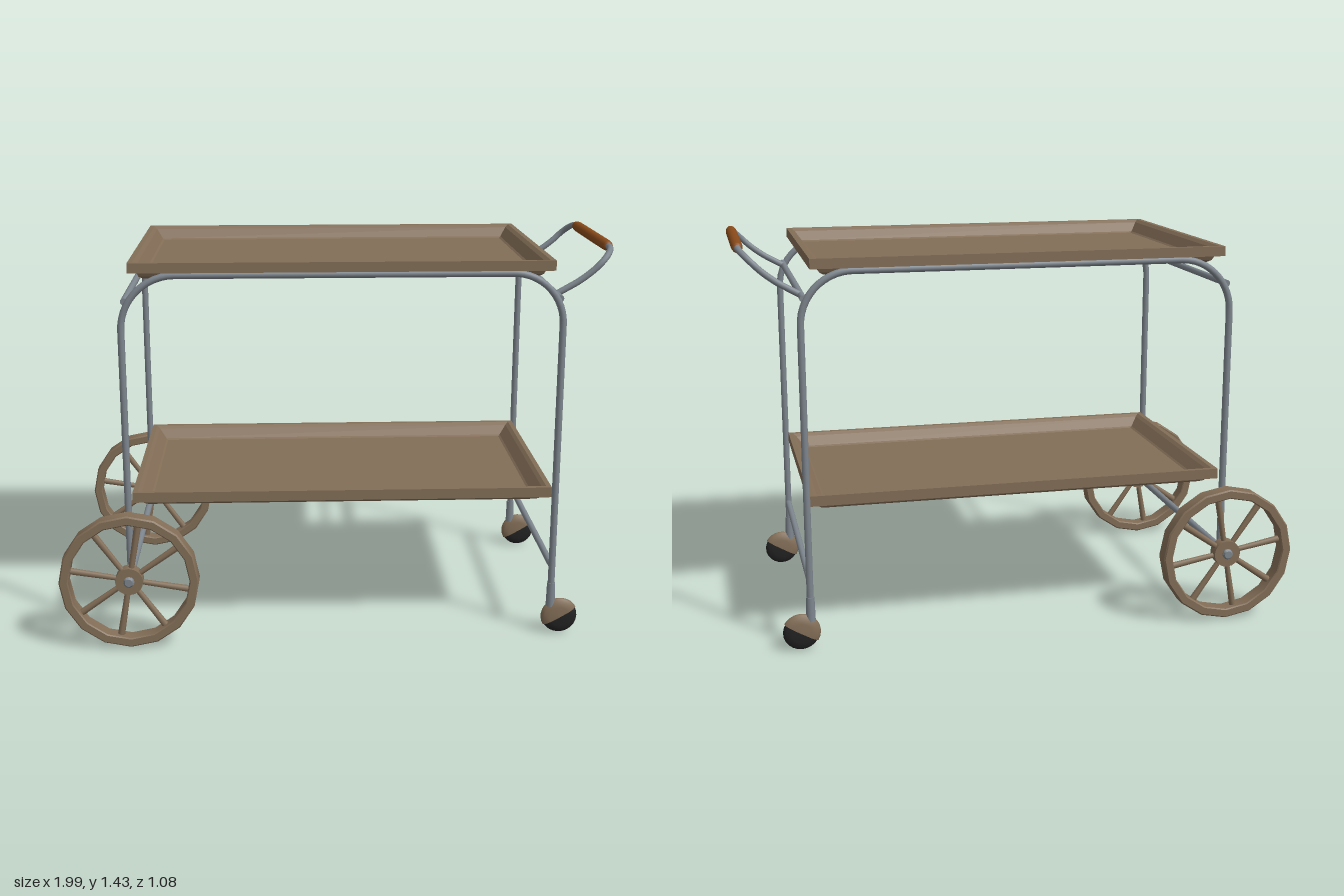
import * as THREE from 'three';
import { toCreasedNormals } from 'three/addons/utils/BufferGeometryUtils.js';

const V = (x, y, z) => new THREE.Vector3(x, y, z);

export function createModel() {
  const root = new THREE.Group();
  root.name = 'servingCart';
  const mat = (name, color, opts = {}) => {
    const m = new THREE.MeshStandardMaterial({ color, ...opts });
    m.name = name;
    return m;
  };
  const wood = mat('brownWood', 0x836e57);
  const metal = mat('greyMetal', 0x7e868e);
  const gripWood = mat('orangeWood', 0x8a4b1a);
  const rubber = mat('blackRubber', 0x232323);

  const add = (parent, name, geo, material) => {
    const mesh = new THREE.Mesh(geo, material);
    mesh.name = name;
    parent.add(mesh);
    return mesh;
  };

  // Polyline with rounded corners, swept as a tube
  const bentTube = (pts, radii, r, segs) => {
    const path = new THREE.CurvePath();
    let last = pts[0];
    for (let i = 1; i < pts.length - 1; i++) {
      const p = pts[i], R = radii[i - 1];
      const a = p.clone().add(pts[i - 1].clone().sub(p).setLength(R));
      const b = p.clone().add(pts[i + 1].clone().sub(p).setLength(R));
      path.add(new THREE.LineCurve3(last, a));
      path.add(new THREE.CubicBezierCurve3(a, a.clone().lerp(p, 0.55), b.clone().lerp(p, 0.55), b));
      last = b;
    }
    path.add(new THREE.LineCurve3(last, pts[pts.length - 1]));
    return new THREE.TubeGeometry(path, segs, r, 10);
  };

  // Straight bar along z
  const barZ = (r, len, x, y, z = 0, sides = 12) =>
    new THREE.CylinderGeometry(r, r, len, sides).rotateX(Math.PI / 2).translate(x, y, z);

  // Tray: rectangular loops of [inset, y], from the floor over the rim to the underside
  const tray = (name, x0, x1, hz, loops) => {
    const pos = [];
    const ring = ([i, y]) => [
      V(x0 + i, y, hz - i), V(x1 - i, y, hz - i), V(x1 - i, y, -hz + i), V(x0 + i, y, -hz + i)];
    const quad = (a, b, c, d) => [a, b, c, a, c, d].forEach((p) => pos.push(p.x, p.y, p.z));
    const rings = loops.map(ring);
    const top = rings[0], bottom = rings[rings.length - 1];
    quad(...top);
    for (let k = 0; k < rings.length - 1; k++) {
      for (let j = 0; j < 4; j++) {
        const n = (j + 1) % 4;
        quad(rings[k + 1][j], rings[k + 1][n], rings[k][n], rings[k][j]);
      }
    }
    quad(bottom[3], bottom[2], bottom[1], bottom[0]);
    const geo = new THREE.BufferGeometry();
    geo.setAttribute('position', new THREE.Float32BufferAttribute(pos, 3));
    geo.computeVertexNormals();
    add(root, name, geo, wood);
  };
  tray('topTray', -0.72, 0.75, 0.468, [
    [0.06, 1.341], [0.053, 1.346], [0.03, 1.38], [0.018, 1.39], [0, 1.39],
    [0, 1.355], [0.028, 1.355], [0.036, 1.338], [0.048, 1.33]]);
  tray('lowerTray', -0.735, 0.775, 0.442, [
    [0.065, 0.511], [0.058, 0.516], [0.03, 0.55], [0.018, 0.56], [0, 0.56],
    [0, 0.523], [0.03, 0.523], [0.038, 0.508], [0.052, 0.5]]);

  // Side frames: one bent tube each
  const LX = -0.75, RX = 0.785, FZ = 0.453;
  for (const s of [1, -1]) {
    add(root, s > 0 ? 'frontFrame' : 'rearFrame', bentTube(
      [V(LX, 0.25, s * FZ), V(LX, 1.345, s * FZ), V(RX, 1.345, s * FZ), V(RX, 0.12, s * FZ)],
      [0.19, 0.18], 0.0125, 160), metal);
  }

  // Cross bars
  add(root, 'upperBarLeft', barZ(0.012, 2 * FZ, -0.737, 1.255), metal);
  add(root, 'upperBarRight', barZ(0.012, 2 * FZ, 0.773, 1.255), metal);
  add(root, 'lowerBar', barZ(0.012, 2 * FZ, RX, 0.26), metal);
  add(root, 'axle', barZ(0.013, 1.05, LX, 0.255), metal);

  // Push handle
  const HX = 0.974, HY = 1.408;
  const side = (s) => [V(0.773, 1.255, s * 0.367), V(0.88, 1.315, s * 0.367), V(HX, HY, s * 0.367)];
  add(root, 'handleTube', bentTube(
    [...side(1), ...side(-1).reverse()], [0.05, 0.08, 0.08, 0.05], 0.0115, 120), metal);
  const gripProfile = [[0, -0.272], [0.014, -0.272], [0.018, -0.262], [0.02, -0.22],
    [0.02, 0.22], [0.018, 0.262], [0.014, 0.272], [0, 0.272]].map((p) => new THREE.Vector2(...p));
  add(root, 'handleGrip', new THREE.LatheGeometry(gripProfile, 16)
    .rotateX(Math.PI / 2).translate(HX, HY, 0), gripWood);

  // Large spoked wheels
  const latheZ = (pts, segs, start, len) =>
    new THREE.LatheGeometry(pts.map((p) => new THREE.Vector2(...p)), segs, start, len).rotateX(Math.PI / 2);
  const spokes = 8;
  for (const s of [1, -1]) {
    const wheel = new THREE.Group();
    wheel.name = s > 0 ? 'frontWheel' : 'rearWheel';
    wheel.position.set(LX, 0.255, s * 0.509);
    root.add(wheel);
    add(wheel, 'rim', toCreasedNormals(latheZ(
      [[0.216, -0.026], [0.22, -0.03], [0.245, -0.03], [0.25, -0.025], [0.25, 0.025],
        [0.245, 0.03], [0.22, 0.03], [0.216, 0.026], [0.216, -0.026]], 16), 0.6), wood);
    add(wheel, 'hub', barZ(0.05, 0.044, 0, 0, 0, 16), wood);
    add(wheel, 'hubCap', toCreasedNormals(latheZ(
      [[0, -0.033], [0.014, -0.033], [0.02, -0.026], [0.02, 0.026], [0.014, 0.033], [0, 0.033]], 12), 0.6), metal);
    for (let i = 0; i < spokes; i++) {
      const a = THREE.MathUtils.degToRad(35) + (i * 2 * Math.PI) / spokes;
      add(wheel, 'spoke', new THREE.CylinderGeometry(0.013, 0.01, 0.185, 8)
        .translate(0, 0.13, 0).rotateZ(a - Math.PI / 2), wood);
    }
  }

  // Casters: rounded wheel, half hood and stem
  const disc = (k) => [[0, -0.02], [0.035, -0.019], [0.053, -0.014], [0.062, -0.007], [0.065, 0],
    [0.062, 0.007], [0.053, 0.014], [0.035, 0.019], [0, 0.02]].map(([r, z]) => [r * k, z * k]);
  for (const s of [1, -1]) {
    const caster = new THREE.Group();
    caster.name = s > 0 ? 'frontCaster' : 'rearCaster';
    caster.position.set(0.82, 0.065, s * FZ);
    root.add(caster);
    add(caster, 'casterWheel', latheZ(disc(1), 24), rubber);
    add(caster, 'casterHood', latheZ(disc(1.06), 14, (Math.PI * 2) / 3, Math.PI), wood);
    add(caster, 'casterStem', new THREE.CylinderGeometry(0.015, 0.017, 0.09, 12)
      .translate(RX - 0.82, 0.085, 0), metal);
  }
  return root;
}
